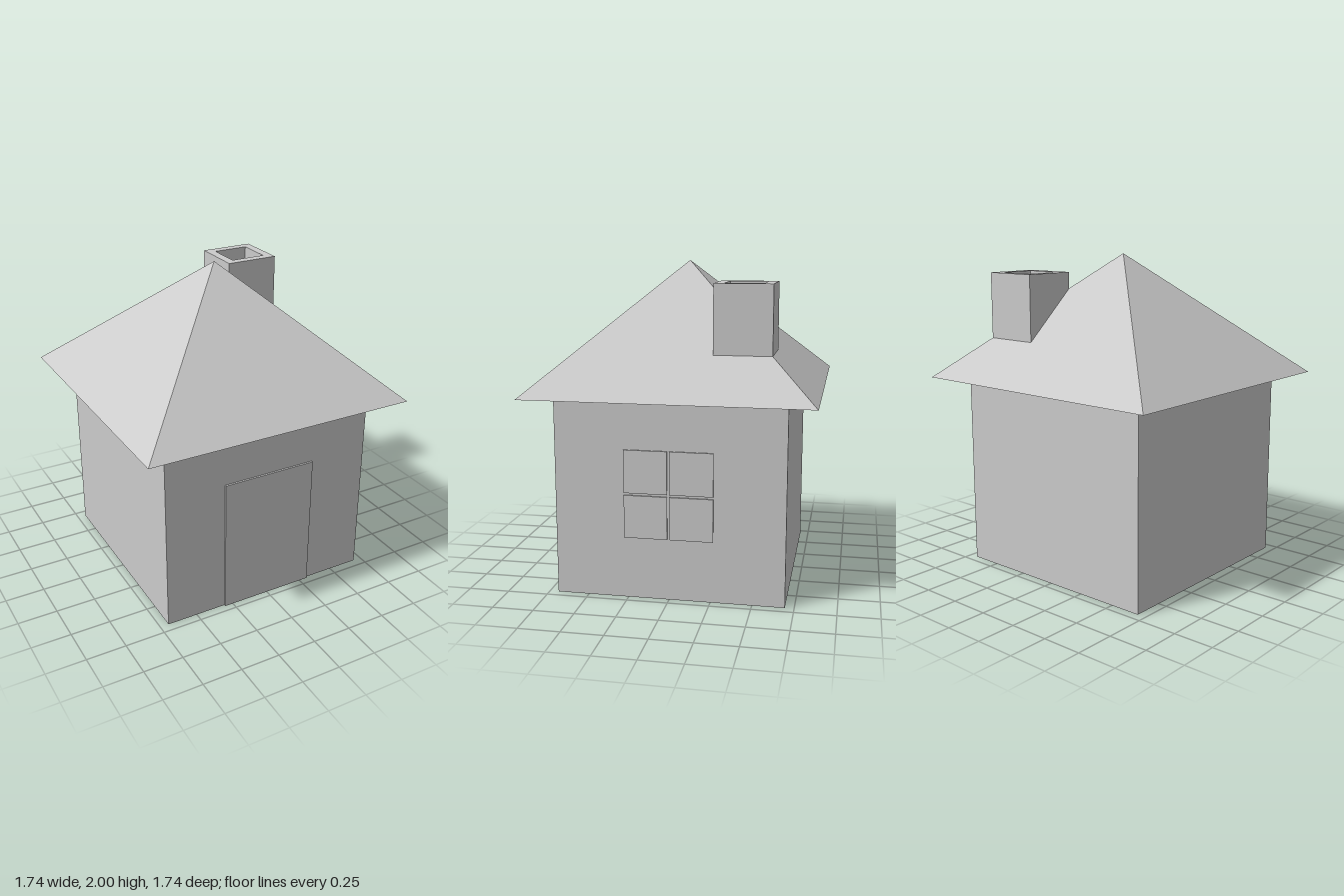
import * as THREE from 'three';

const material = new THREE.MeshStandardMaterial({ color: 0xcccccc, flatShading: true });

function add(parent, name, geometry, x, y, z) {
  const mesh = new THREE.Mesh(geometry, material);
  mesh.name = name;
  mesh.position.set(x, y, z);
  parent.add(mesh);
  return mesh;
}

export function createModel() {
  const house = new THREE.Group();
  house.name = 'house';

  const wallHeight = 1.223, wallHalf = 0.695;
  const eaveHalf = 0.868, roofHeight = 2 - wallHeight;

  // Square walls
  add(house, 'walls', new THREE.BoxGeometry(2 * wallHalf, wallHeight, 2 * wallHalf), 0, wallHeight / 2, 0);

  // Pyramid roof with overhanging eaves
  const roof = new THREE.ConeGeometry(eaveHalf * Math.SQRT2, roofHeight, 4, 1, false, Math.PI / 4);
  add(house, 'roof', roof, 0, wallHeight + roofHeight / 2, 0);

  // Square chimney with a recessed flue, as a four-sided lathe
  const profile = [[0, 1.47], [0.173, 1.47], [0.173, 1.885], [0.116, 1.885], [0.116, 1.71], [0, 1.71]]
    .map(([half, y]) => new THREE.Vector2(half * Math.SQRT2, y));
  add(house, 'chimney', new THREE.LatheGeometry(profile, 4, Math.PI / 4), 0.416, 0, -0.416);

  // Door, slightly proud of the front wall
  add(house, 'door', new THREE.BoxGeometry(0.61, 0.873, 0.03), 0, 0.4365, 0.692);

  // Four window panes on the left wall
  const windowGroup = new THREE.Group();
  windowGroup.name = 'window';
  windowGroup.position.set(0.692, 0.647, 0.002);
  for (const sy of [-1, 1]) {
    for (const sz of [-1, 1]) {
      add(windowGroup, 'windowPane', new THREE.BoxGeometry(0.026, 0.262, 0.262), 0, sy * 0.138, sz * 0.138);
    }
  }
  house.add(windowGroup);

  return house;
}
